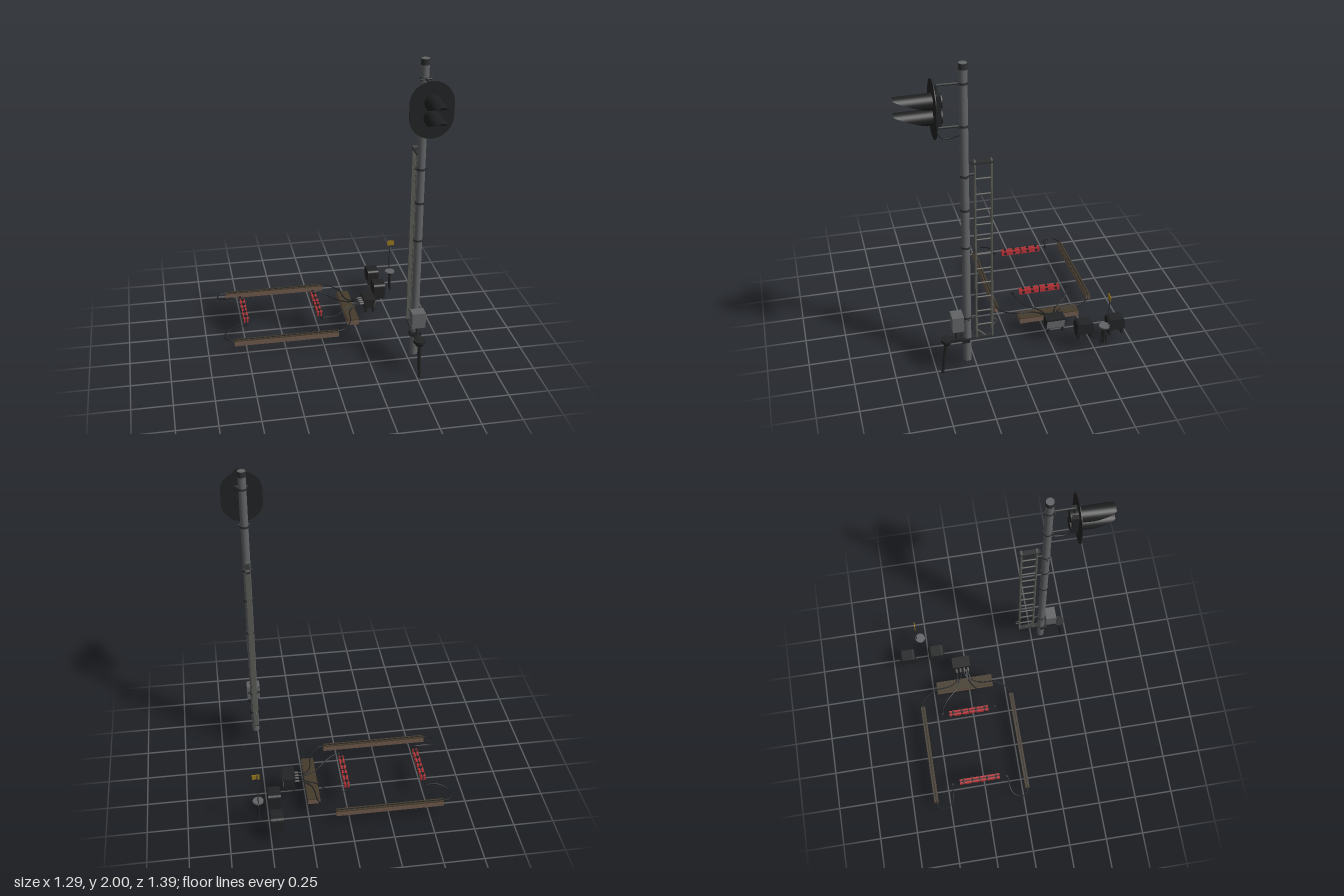
import * as THREE from 'three';

const mat = (name, color) => {
  const m = new THREE.MeshStandardMaterial({ color });
  m.name = name;
  return m;
};

export function createModel() {
  const M = {
    steel: mat('pole grey', 0x616365),
    ladder: mat('ladder grey', 0x5b5c57),
    black: mat('black', 0x222324),
    dark: mat('dark iron', 0x2d2f30),
    lens: mat('lens white', 0xd6d8d8),
    wood: mat('trough brown', 0x6e594b),
    lid: mat('lid brown', 0x453b2c),
    red: mat('red', 0xb83338),
    yellow: mat('yellow', 0x98791f),
  };
  const hoodMat = mat('hood black', 0x1e1f20);
  hoodMat.side = THREE.DoubleSide;

  const root = new THREE.Group();
  const group = (name, parent = root) => {
    const g = new THREE.Group();
    g.name = name;
    parent.add(g);
    return g;
  };
  const add = (parent, name, geo, m, x = 0, y = 0, z = 0) => {
    const mesh = new THREE.Mesh(geo, m);
    mesh.name = name;
    mesh.position.set(x, y, z);
    parent.add(mesh);
    return mesh;
  };
  // box from min/max extents
  const box = (p, name, m, x0, x1, y0, y1, z0, z1) =>
    add(p, name, new THREE.BoxGeometry(x1 - x0, y1 - y0, z1 - z0), m, (x0 + x1) / 2, (y0 + y1) / 2, (z0 + z1) / 2);
  const cyl = (p, name, m, r0, r1, h, x, y, z, n = 20) =>
    add(p, name, new THREE.CylinderGeometry(r1, r0, h, n), m, x, y, z);
  // round bar between two points
  const rod = (p, name, m, a, b, r0, r1 = r0) => {
    const A = new THREE.Vector3(...a), B = new THREE.Vector3(...b);
    const mesh = cyl(p, name, m, r0, r1, A.distanceTo(B), 0, 0, 0, 10);
    mesh.position.copy(A).add(B).multiplyScalar(0.5);
    mesh.quaternion.setFromUnitVectors(new THREE.Vector3(0, 1, 0), B.sub(A).normalize());
    return mesh;
  };
  const cable = (p, name, pts, r = 0.004) => {
    const curve = new THREE.CatmullRomCurve3(pts.map(q => new THREE.Vector3(...q)));
    return add(p, name, new THREE.TubeGeometry(curve, 32, r, 6), M.black);
  };

  // ---- mast ----
  const PX = 0.517, PZ = 0.312;
  const mast = group('mast');
  cyl(mast, 'pole', M.steel, 0.024, 0.024, 1.92, PX, 1.04, PZ, 24);
  cyl(mast, 'poleCap', M.dark, 0.0248, 0.0248, 0.035, PX, 1.981, PZ, 24);
  for (const y of [1.886, 1.638, 1.335, 1.12, 0.875, 0.39, 0.235])
    cyl(mast, 'clamp', M.dark, 0.028, 0.028, 0.012, PX, y, PZ, 20);
  for (const y of [1.335, 0.39])
    box(mast, 'clampEars', M.dark, PX - 0.04, PX + 0.04, y - 0.004, y + 0.004, PZ - 0.005, PZ + 0.005);

  // ---- signal head ----
  const head = group('signalHead');
  const HY = 1.752, HR = 0.128, HS = 0.0385;
  const plate = new THREE.Shape();
  plate.absarc(0, HS, HR, 0, Math.PI);
  plate.absarc(0, -HS, HR, Math.PI, Math.PI * 2);
  plate.closePath();
  add(head, 'backplate', new THREE.ExtrudeGeometry(plate, { depth: 0.005, bevelEnabled: false, curveSegments: 32 }),
    M.black, PX, HY, 0.477);
  box(head, 'housing', M.black, PX - 0.045, PX + 0.045, 1.665, 1.835, 0.44, 0.478);
  for (const y of [1.797, 1.707]) {
    const barrel = cyl(head, 'lampBarrel', M.black, 0.04, 0.044, 0.05, PX, y, 0.455, 24);
    barrel.rotation.x = Math.PI / 2;
    const lens = cyl(head, 'lens', M.lens, 0.041, 0.041, 0.006, PX, y, 0.485, 28);
    lens.rotation.x = Math.PI / 2;
    // tube cut along a slant, longest at the top
    const R = 0.046, hood = new THREE.CylinderGeometry(R, R, 1, 40, 1, true).rotateX(Math.PI / 2);
    const pos = hood.attributes.position;
    for (let i = 0; i < pos.count; i++) {
      const t = (pos.getY(i) / R + 1) / 2;
      const far = pos.getZ(i) > 0;
      pos.setZ(i, far ? Math.min(0.21, 0.012 + 0.225 * t) : 0);
      if (far) {
        pos.setX(i, pos.getX(i) * 1.06);
        pos.setY(i, pos.getY(i) - 0.006 * t);
      }
    }
    hood.computeVertexNormals();
    add(head, 'hood', hood, hoodMat, PX, y, 0.481);
  }
  // mounting arms and feed cable
  for (const [y, yEnd] of [[1.886, 1.83], [1.638, 1.68]]) {
    rod(head, 'mountArm', M.dark, [PX, y, PZ], [PX, y, 0.456], 0.007);
    rod(head, 'mountPost', M.dark, [PX, y, 0.456], [PX, yEnd, 0.456], 0.009);
    rod(head, 'mountBolt', M.dark, [PX - 0.035, y, PZ + 0.028], [PX + 0.035, y, PZ + 0.028], 0.005);
  }
  cable(head, 'feedCable', [[PX, 1.67, 0.465], [PX, 1.62, 0.465], [PX, 1.58, 0.435], [PX, 1.57, 0.39], [PX, 1.585, 0.33]]);

  // ---- ladder ----
  const ladder = group('ladder');
  const Z0 = 0.16, Z1 = 0.255;
  for (const z of [Z0, Z1])
    box(ladder, 'rail', M.ladder, PX - 0.014, PX + 0.014, 0.235, 1.42, z - 0.005, z + 0.005);
  for (let i = 0; i < 12; i++) {
    const y = 0.32 + i * 0.0985;
    rod(ladder, 'rung', M.ladder, [PX, y, Z0], [PX, y, Z1], 0.005);
  }
  box(ladder, 'topBar', M.dark, PX - 0.015, PX + 0.015, 1.4, 1.411, Z0 - 0.01, Z1 + 0.02);
  box(ladder, 'bottomBar', M.dark, PX - 0.014, PX + 0.014, 0.229, 0.24, Z0 - 0.005, PZ);
  rod(ladder, 'brace', M.ladder, [PX, 0.29, Z1], [PX, 0.235, 0.2], 0.005);
  for (const y of [1.338, 0.385])
    rod(ladder, 'standoff', M.dark, [PX, y, PZ], [PX, y, Z1], 0.007);
  const hasp = add(ladder, 'hasp', new THREE.TorusGeometry(0.014, 0.003, 6, 16), M.ladder, PX, 0.332, 0.148);
  hasp.rotation.y = Math.PI / 2;
  hasp.scale.y = 1.4;

  // ---- control box and conduit at the mast foot ----
  const foot = group('mastEquipment');
  box(foot, 'controlBox', M.steel, 0.475, 0.56, 0.315, 0.415, 0.338, 0.408);
  cyl(foot, 'controlBoxStem', M.dark, 0.011, 0.011, 0.09, PX, 0.275, 0.375);
  box(foot, 'bracket', M.black, PX - 0.018, PX + 0.018, 0.226, 0.244, PZ, 0.43);
  box(foot, 'bracketClamp', M.black, PX - 0.034, PX + 0.034, 0.22, 0.245, PZ - 0.01, PZ + 0.035);
  cyl(foot, 'junctionLid', M.black, 0.036, 0.036, 0.016, PX, 0.241, 0.437);
  cyl(foot, 'junctionCup', M.black, 0.022, 0.034, 0.022, PX, 0.222, 0.437);
  rod(foot, 'conduit', M.black, [PX, 0.001, 0.467], [PX, 0.22, 0.44], 0.009, 0.012);

  // ---- cable troughs ----
  const CZ = -0.28; // mirror plane of the track circuit
  const troughs = group('troughs');
  const trough = (x0, x1, z0, z1) => {
    box(troughs, 'trough', M.wood, x0, x1, 0.08, 0.113, z0, z1);
    box(troughs, 'troughLid', M.lid, x0, x1, 0.113, 0.118, z0, z1);
  };
  trough(0.173, 0.25, -0.474, -0.085);

  const wiring = group('wiring');
  for (const s of [-1, 1]) {
    const z = d => CZ + s * d;
    const a = z(0.296), b = z(0.324);
    trough(-0.585, 0.09, Math.min(a, b), Math.max(a, b));
    box(troughs, 'cableSlot', M.black, -0.585, 0.09, 0.116, 0.12, z(0.31) - 0.003, z(0.31) + 0.003);
    cable(wiring, 'farLoop', [[-0.58, 0.115, z(0.31)], [-0.62, 0.115, z(0.302)], [-0.643, 0.117, z(0.275)],
      [-0.637, 0.12, z(0.235)], [-0.605, 0.13, z(0.202)], [-0.56, 0.144, z(0.19)], [-0.5, 0.144, z(0.188)]]);
    cable(wiring, 'nearLead', [[0.085, 0.115, z(0.31)], [0.125, 0.115, z(0.298)], [0.165, 0.117, z(0.256)],
      [0.193, 0.121, z(0.2)], [0.2, 0.122, z(0.13)], [0.215, 0.122, z(0.075)], [0.24, 0.122, z(0.05)]]);
    cable(wiring, 'railLead', [[0, 0.146, z(0.176)], [0.04, 0.142, z(0.172)], [0.1, 0.126, z(0.14)],
      [0.145, 0.119, z(0.095)], [0.185, 0.121, z(0.055)], [0.235, 0.122, z(0.03)]]);
    for (const x of [-0.498, 0.003])
      box(wiring, 'cableEnd', M.black, x - 0.007, x + 0.007, 0.137, 0.152, z(0.182) - 0.006, z(0.182) + 0.006);
    // tails into the terminal box
    for (const [d, e] of [[0.05, 0.04], [0.03, 0.013]]) {
      cable(wiring, 'boxTail', [[0.22, 0.122, z(d + 0.012)], [0.24, 0.124, z(d)], [0.27, 0.138, z(e)], [0.32, 0.142, z(e)]]);
      rod(wiring, 'gland', M.ladder, [0.288, 0.142, z(e)], [0.318, 0.142, z(e)], 0.007);
    }
  }

  // ---- red rail bonds with clamps ----
  for (const x of [-0.489, -0.003]) {
    const bond = group('railBond');
    for (const s of [-1, 1])
      box(bond, 'redBar', M.red, x + s * 0.01 - 0.0055, x + s * 0.01 + 0.0055, 0.133, 0.166, CZ - 0.135, CZ + 0.135);
    box(bond, 'core', M.dark, x - 0.005, x + 0.005, 0.138, 0.155, CZ - 0.132, CZ + 0.132);
    box(bond, 'centreBand', M.black, x - 0.017, x + 0.017, 0.131, 0.168, CZ - 0.003, CZ + 0.003);
    for (const dz of [-0.11, -0.049, 0.049, 0.11]) {
      rod(bond, 'clampBolt', M.black, [x - 0.022, 0.15, CZ + dz], [x + 0.022, 0.15, CZ + dz], 0.009);
      box(bond, 'clampTop', M.black, x - 0.011, x + 0.011, 0.155, 0.174, CZ + dz - 0.006, CZ + dz + 0.006);
    }
  }

  // ---- terminal box on four legs ----
  const terminal = group('terminalBox');
  box(terminal, 'case', M.black, 0.316, 0.386, 0.113, 0.168, -0.34, -0.222);
  box(terminal, 'caseLid', M.black, 0.313, 0.391, 0.166, 0.178, -0.343, -0.22);
  box(terminal, 'sidePanel', M.steel, 0.386, 0.39, 0.115, 0.166, -0.338, -0.224);
  for (const x of [0.326, 0.377]) for (const z of [-0.328, -0.234])
    box(terminal, 'leg', M.black, x - 0.008, x + 0.008, 0.078, 0.115, z - 0.006, z + 0.006);

  // ---- two rounded cabinets on plate feet ----
  const prof = new THREE.Shape();
  const W = 0.054, r = 0.02;
  prof.moveTo(-W, 0.112).lineTo(W, 0.112).lineTo(W, 0.188 - r);
  prof.absarc(W - r, 0.188 - r, r, 0, Math.PI / 2);
  prof.absarc(-W + r, 0.188 - r, r, Math.PI / 2, Math.PI);
  prof.closePath();
  for (const z of [-0.441, -0.644]) {
    const cab = group('cabinet');
    const geo = new THREE.ExtrudeGeometry(prof, { depth: 0.078, bevelEnabled: false, curveSegments: 6 });
    add(cab, 'cabinetBody', geo.rotateY(Math.PI / 2), M.black, 0.419, 0, z);
    for (const s of [-1, 1])
      box(cab, 'foot', M.black, 0.421, 0.495, 0.077, 0.115, z + s * 0.04 - 0.007, z + s * 0.04 + 0.007);
  }

  // ---- round-topped stand with marker flag ----
  const stand = group('markerStand');
  const SX = 0.562, SZ = -0.537;
  cyl(stand, 'standTop', M.steel, 0.033, 0.033, 0.01, SX, 0.207, SZ, 24);
  cyl(stand, 'standCup', M.black, 0.01, 0.026, 0.022, SX, 0.192, SZ);
  cyl(stand, 'standPost', M.black, 0.008, 0.008, 0.11, SX, 0.135, SZ, 10);
  for (const s of [-1, 1])
    cable(stand, 'standCable', [[SX, 0.19, SZ + s * 0.012], [SX, 0.14, SZ + s * 0.014], [SX, 0.1, SZ + s * 0.016], [SX, 0.07, SZ + s * 0.022]]);
  rod(stand, 'flagRod', M.dark, [SX, 0.2, -0.562], [SX, 0.435, -0.562], 0.003);
  box(stand, 'flag', M.yellow, 0.545, 0.592, 0.402, 0.436, -0.56, -0.555);

  return root;
}
